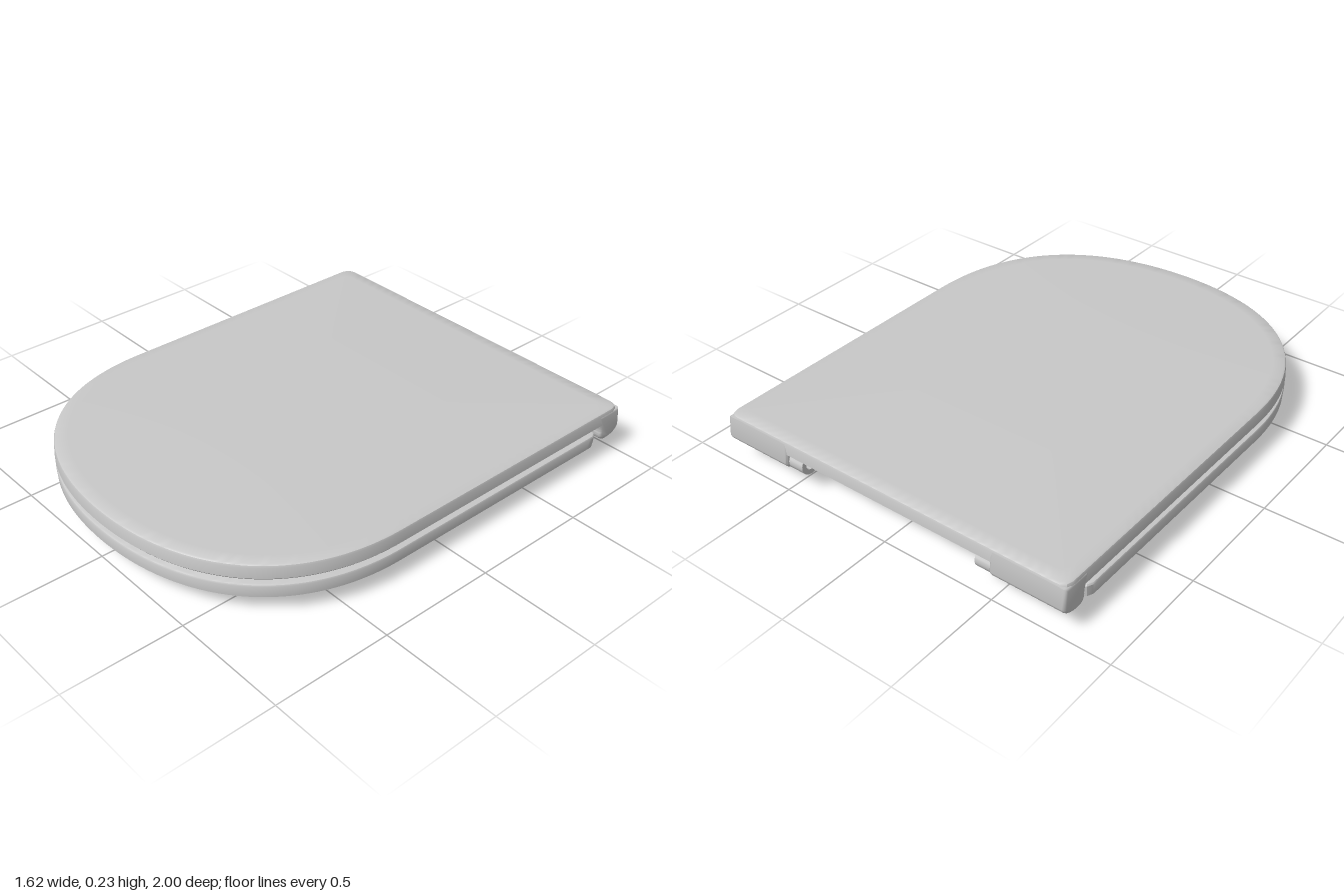
import * as THREE from 'three';
import { toCreasedNormals } from 'three/addons/utils/BufferGeometryUtils.js';

const HOLE_Z = 0.1;

// D-shaped outline, square at the back and round at the front, as [x, z] points
function dOutline(inset, back) {
  const w = 0.812 - inset, f = 1 - inset, b = back + inset, r = 0.045;
  const path = new THREE.Path();
  path.moveTo(0, b);
  path.lineTo(w - r, b);
  path.quadraticCurveTo(w, b, w, b + r);
  path.lineTo(w, 0.25);
  path.bezierCurveTo(w, 0.72 - inset, 0.5, f, 0, f);
  const half = path.getSpacedPoints(130).map((p) => [p.x, p.y]);
  const mirrored = half.slice(1, -1).reverse().map(([x, z]) => [-x, z]);
  return half.concat(mirrored);
}

// Rounded opening whose points lie in the same directions as those of the seat outline
function holeOutline(a, b) {
  const n = 2.7;
  return dOutline(0, -0.87).map(([x, z]) => {
    const t = Math.atan2(z - HOLE_Z, x), c = Math.cos(t), s = Math.sin(t);
    const r = (Math.abs(c / a) ** n + Math.abs(s / b) ** n) ** (-1 / n);
    return [r * c, HOLE_Z + r * s];
  });
}

const scaled = (pts, s) => pts.map(([x, z]) => [x * s, z * s]);

// Surface through a list of [outline, y] rings
function loft(rings, crease = 0.55) {
  const pos = [];
  const tri = (a, b, c) => {
    const n = b.clone().sub(a).cross(c.clone().sub(a));
    if (n.length() > 1e-9) for (const p of [a, b, c]) pos.push(p.x, p.y, p.z);
  };
  const v = rings.map(([pts, y]) => pts.map(([x, z]) => new THREE.Vector3(x, y, z)));
  for (let i = 0; i < v.length - 1; i++) {
    const n = v[i].length;
    for (let j = 0; j < n; j++) {
      const k = (j + 1) % n;
      tri(v[i][j], v[i + 1][j], v[i][k]);
      tri(v[i][k], v[i + 1][j], v[i + 1][k]);
    }
  }
  const g = new THREE.BufferGeometry();
  g.setAttribute('position', new THREE.Float32BufferAttribute(pos, 3));
  return toCreasedNormals(g, crease);
}

// Extrude a (z, y) profile between two x positions
function alongX(shape, x0, x1, bevel = 0) {
  const g = new THREE.ExtrudeGeometry(shape, {
    depth: x1 - x0 - 2 * bevel, curveSegments: 16,
    bevelEnabled: bevel > 0, bevelSize: bevel, bevelThickness: bevel, bevelOffset: -bevel, bevelSegments: 3,
  });
  g.rotateY(-Math.PI / 2);
  g.translate(x1 - bevel, 0, 0);
  return toCreasedNormals(g, 0.6);
}

export function createModel() {
  const model = new THREE.Group();
  model.name = 'toiletSeat';
  const plastic = new THREE.MeshStandardMaterial({ color: 0xc8c8c8 });
  plastic.name = 'greyPlastic';
  const add = (parent, name, geometry, x = 0, y = 0, z = 0) => {
    const m = new THREE.Mesh(geometry, plastic);
    m.name = name;
    m.position.set(x, y, z);
    parent.add(m);
    return m;
  };

  // Lid: hollow underneath, softly domed on top
  const lid = new THREE.Group();
  lid.name = 'lid';
  model.add(lid);
  const L = (inset) => dOutline(inset, -0.992);
  const lidTop = L(0.012);
  const dome = [0.95, 0.85, 0.7, 0.5, 0.25, 0].map((s) => [scaled(lidTop, s), 0.22 + 0.013 * (1 - s * s)]);
  add(lid, 'lidShell', loft([
    [scaled(L(0.04), 0), 0.195], [L(0.04), 0.195], [L(0.035), 0.156], [L(0.006), 0.156],
    [L(0), 0.163], [L(0.002), 0.208], [L(0.005), 0.216], [lidTop, 0.22], ...dome,
  ]));

  // Seat ring with a thin skirt around the opening and a shallow recess below
  const seat = new THREE.Group();
  seat.name = 'seat';
  model.add(seat);
  const S = (inset) => dOutline(inset, -0.87);
  const H = (d) => holeOutline(0.52 + d, 0.625 + d);
  add(seat, 'seatRing', loft([
    [S(0.032), 0.1], [S(0.028), 0.073], [S(0.01), 0.073], [S(0.003), 0.078], [S(0), 0.125],
    [S(0.003), 0.131], [S(0.01), 0.134],
    [H(0.06), 0.134], [H(0.03), 0.128], [H(0.01), 0.112], [H(-0.005), 0.08], [H(-0.025), 0.006],
    [H(-0.018), 0], [H(-0.006), 0], [H(0), 0.006], [H(0.021), 0.07], [H(0.035), 0.09], [H(0.06), 0.1],
    [S(0.032), 0.1],
  ]));

  // Cup-shaped rubber foot, open downward
  const footProfile = [[0.001, 0.03], [0.03, 0.03], [0.034, 0.005], [0.042, 0], [0.054, 0], [0.06, 0.006], [0.062, 0.035]];
  const footGeo = toCreasedNormals(new THREE.LatheGeometry(
    footProfile.map(([r, y]) => new THREE.Vector2(r, y)), 32), 0.6);
  const studGeo = new THREE.CylinderGeometry(0.016, 0.016, 0.02, 16);
  const bumperGeo = new THREE.CylinderGeometry(0.058, 0.055, 0.045, 32);

  // Drop-down lip at the rear of the lid
  const lip = new THREE.Shape();
  lip.moveTo(-0.865, 0.2);
  lip.lineTo(-0.875, 0.158);
  lip.quadraticCurveTo(-0.885, 0.135, -0.882, 0.12);
  lip.quadraticCurveTo(-0.885, 0.085, -0.92, 0.083);
  lip.quadraticCurveTo(-0.99, 0.085, -1, 0.125);
  lip.lineTo(-0.99, 0.208);
  lip.lineTo(-0.87, 0.208);

  // Hinge barrel with a bore
  const barrel = new THREE.Shape();
  barrel.absarc(-0.945, 0.126, 0.043, 0, Math.PI * 2);
  const bore = new THREE.Path();
  bore.absarc(-0.945, 0.126, 0.022, 0, Math.PI * 2, true);
  barrel.holes.push(bore);

  for (const [side, s] of [['left', 1], ['right', -1]]) {
    const span = (shape, a, b, bevel) => (s > 0 ? alongX(shape, a, b, bevel) : alongX(shape, -b, -a, bevel));
    add(lid, side + 'RearLip', span(lip, 0.49, 0.812, 0.012));
    add(lid, side + 'HingeBarrel', span(barrel, 0.42, 0.53));
    add(lid, side + 'HingeWeb', new THREE.BoxGeometry(0.07, 0.05, 0.06), s * 0.455, 0.18, -0.945);
    add(lid, side + 'LidBumper', bumperGeo, s * 0.61, 0.1745, 0.66);
    for (const [place, x, z] of [['Front', 0.59, 0.66], ['Back', 0.63, -0.29]]) {
      add(seat, side + place + 'Foot', footGeo, s * x, 0.068, z);
      add(seat, side + place + 'FootStud', studGeo, s * x, 0.09, z);
    }
  }
  return model;
}
